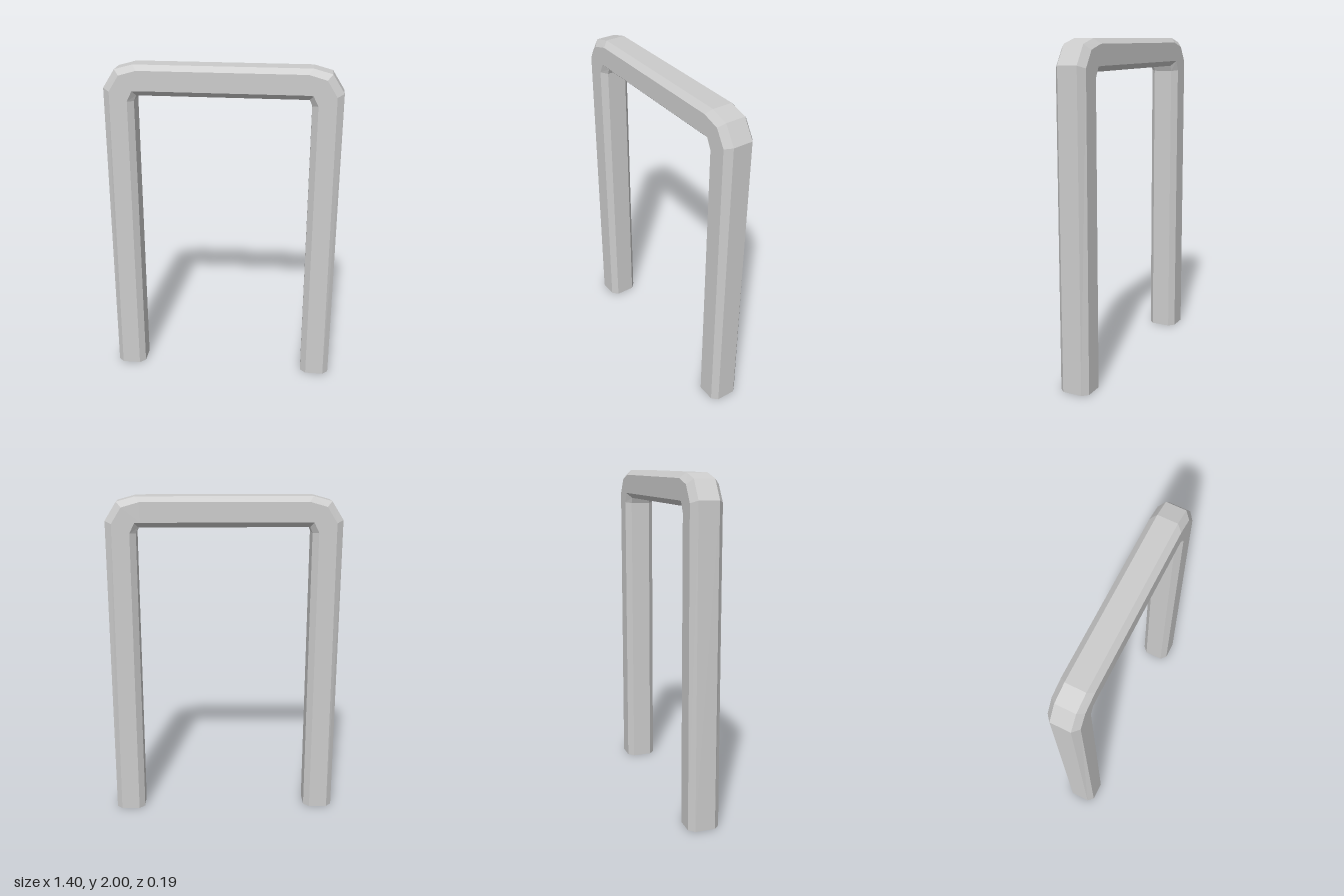
import * as THREE from 'three';

export function createModel() {
  const group = new THREE.Group();

  // Long edges of the bar on the +x side: foot, then three corner points [x, y]
  const outer = [[0.70, 0], [0.70, 1.86], [0.63, 1.97], [0.52, 2.0]];
  const outerBevel = [[0.667, 0], [0.66, 1.845], [0.60, 1.94], [0.495, 1.97]];
  const innerBevel = [[0.555, 0], [0.555, 1.79], [0.525, 1.85], [0.49, 1.852]];
  const inner = [[0.52, 0], [0.52, 1.785], [0.505, 1.82], [0.49, 1.82]];

  // Eight-sided section: each corner follows one edge at a fixed depth
  const flat = 0.06, face = 0.093;
  const section = [
    [outer, flat], [outerBevel, face], [innerBevel, face], [inner, flat],
    [inner, -flat], [innerBevel, -face], [outerBevel, -face], [outer, -flat],
  ];
  const sides = section.length;

  // Rings run up the +x leg, across the top and down the mirrored leg
  const positions = [], index = [];
  const stations = 2 * outer.length;
  for (let i = 0; i < stations; i++) {
    const mirrored = i >= outer.length;
    const k = mirrored ? stations - 1 - i : i;
    for (const [edge, z] of section) {
      positions.push(mirrored ? -edge[k][0] : edge[k][0], edge[k][1], z);
    }
  }
  for (let i = 0; i < stations - 1; i++) {
    for (let j = 0; j < sides; j++) {
      const a = i * sides + j, b = i * sides + (j + 1) % sides;
      index.push(a, a + sides, b, b, a + sides, b + sides);
    }
  }

  const indexed = new THREE.BufferGeometry();
  indexed.setAttribute('position', new THREE.Float32BufferAttribute(positions, 3));
  indexed.setIndex(index);
  const geometry = indexed.toNonIndexed();
  geometry.computeVertexNormals();

  // Hollow bar, open at both feet
  const bar = new THREE.Mesh(geometry, new THREE.MeshStandardMaterial({
    color: 0xcccccc, flatShading: true, side: THREE.DoubleSide,
  }));
  bar.name = 'archedBar';
  group.add(bar);
  return group;
}
